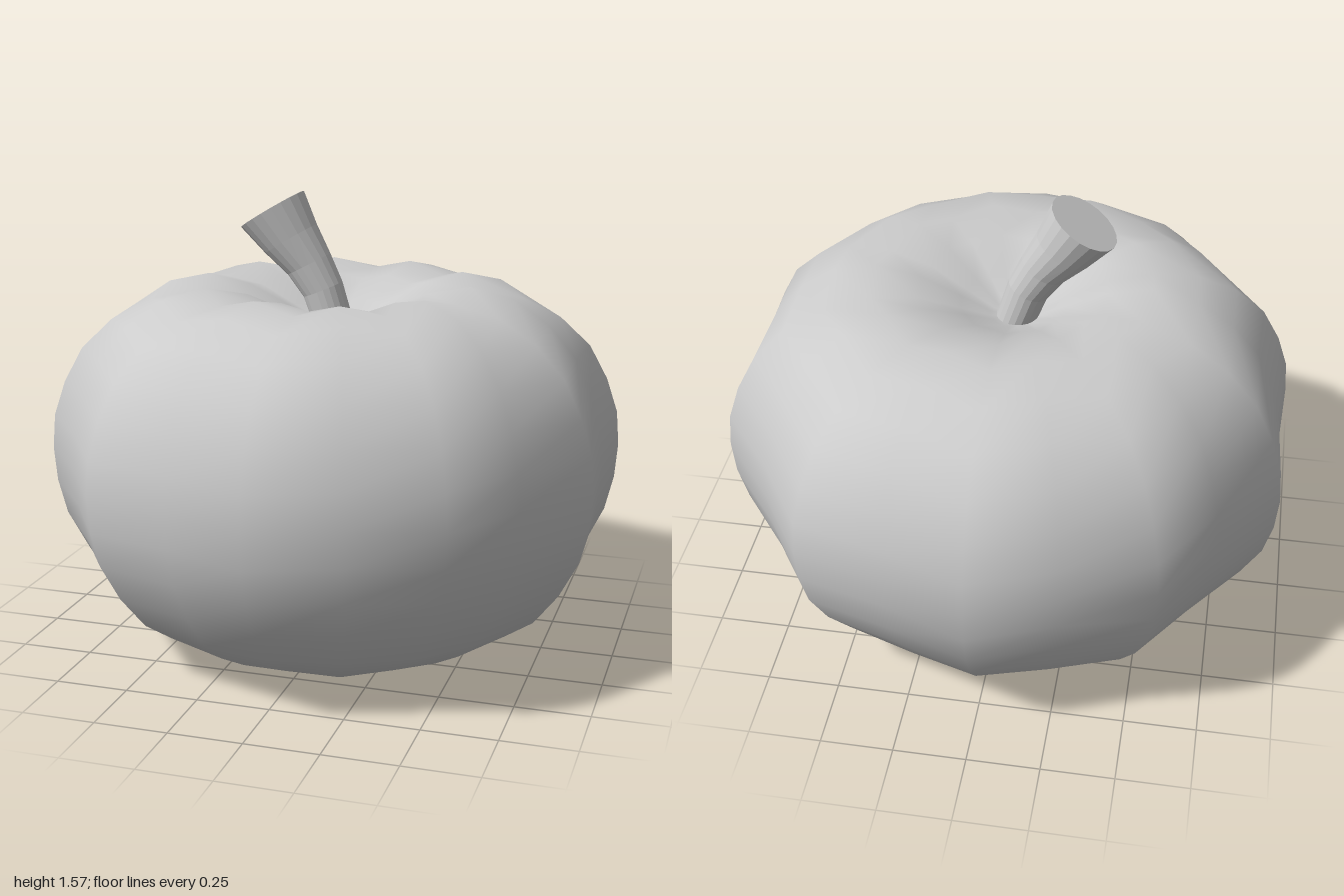
import * as THREE from 'three';
import { mergeVertices } from 'three/addons/utils/BufferGeometryUtils.js';

const SIDES = 20;

// Skin between rings stacked from bottom to top; pointAt(ring, i) gives a corner.
function loft(rings, pointAt) {
  const positions = [], index = [];
  rings.forEach((ring, j) => {
    for (let i = 0; i < SIDES; i++) {
      positions.push(...pointAt(ring, i).toArray());
      if (j === rings.length - 1) continue;
      const a = j * SIDES + i, b = j * SIDES + (i + 1) % SIDES;
      index.push(a, b, b + SIDES, a, b + SIDES, a + SIDES);
    }
  });
  const raw = new THREE.BufferGeometry();
  raw.setAttribute('position', new THREE.Float32BufferAttribute(positions, 3));
  raw.setIndex(index);
  const geometry = mergeVertices(raw);
  geometry.computeVertexNormals();
  return geometry;
}

// Ribbed body: each row is [ridge radius, ridge height, groove radius, groove height]
function makeBody() {
  const rows = [
    [0, 0.13, 0, 0.13], [0.14, 0.1, 0.14, 0.095], [0.28, 0.05, 0.28, 0.035],
    [0.44, 0.03, 0.425, 0.003], [0.58, 0.065, 0.55, 0.04], [0.7, 0.125, 0.665, 0.105],
    [0.8, 0.195, 0.755, 0.18], [0.89, 0.31, 0.835, 0.3], [0.96, 0.44, 0.9, 0.435],
    [0.99, 0.56, 0.925, 0.56], [1, 0.68, 0.935, 0.68], [0.99, 0.8, 0.925, 0.8],
    [0.95, 0.92, 0.89, 0.925], [0.885, 1.04, 0.835, 1.05], [0.78, 1.14, 0.74, 1.16],
    [0.645, 1.21, 0.62, 1.24], [0.48, 1.24, 0.47, 1.275], [0.32, 1.225, 0.32, 1.245],
    [0.18, 1.17, 0.18, 1.18], [0.08, 1.13, 0.08, 1.13], [0, 1.12, 0, 1.12],
  ];
  const geometry = loft(rows, (row, i) => {
    const angle = (i / SIDES) * Math.PI * 2;
    const [r, y] = i % 2 ? row.slice(2) : row;
    return new THREE.Vector3(Math.sin(angle) * r, y, Math.cos(angle) * r);
  });
  const body = new THREE.Mesh(geometry, new THREE.MeshStandardMaterial({ color: 0xcccccc }));
  body.name = 'body';
  return body;
}

// Leaning, flared stem: each ring is [x, y, radius, tilt], ending in a flat cut
function makeStem() {
  const rings = [
    [0, 1.09, 0.067, 0.2], [-0.05, 1.24, 0.072, 0.4], [-0.1, 1.325, 0.082, 0.48],
    [-0.165, 1.41, 0.102, 0.54], [-0.232, 1.51, 0.125, 0.545], [-0.232, 1.51, 0, 0.545],
  ];
  const geometry = loft(rings, ([x, y, r, tilt], i) => {
    const angle = (i / SIDES) * Math.PI * 2;
    const across = Math.sin(angle) * r;
    return new THREE.Vector3(
      x + across * Math.cos(tilt), y + across * Math.sin(tilt), Math.cos(angle) * r);
  });
  const material = new THREE.MeshStandardMaterial({ color: 0xcccccc, flatShading: true });
  const stem = new THREE.Mesh(geometry, material);
  stem.name = 'stem';
  return stem;
}

export function createModel() {
  const model = new THREE.Group();
  model.name = 'pumpkin';
  model.add(makeBody(), makeStem());
  return model;
}
